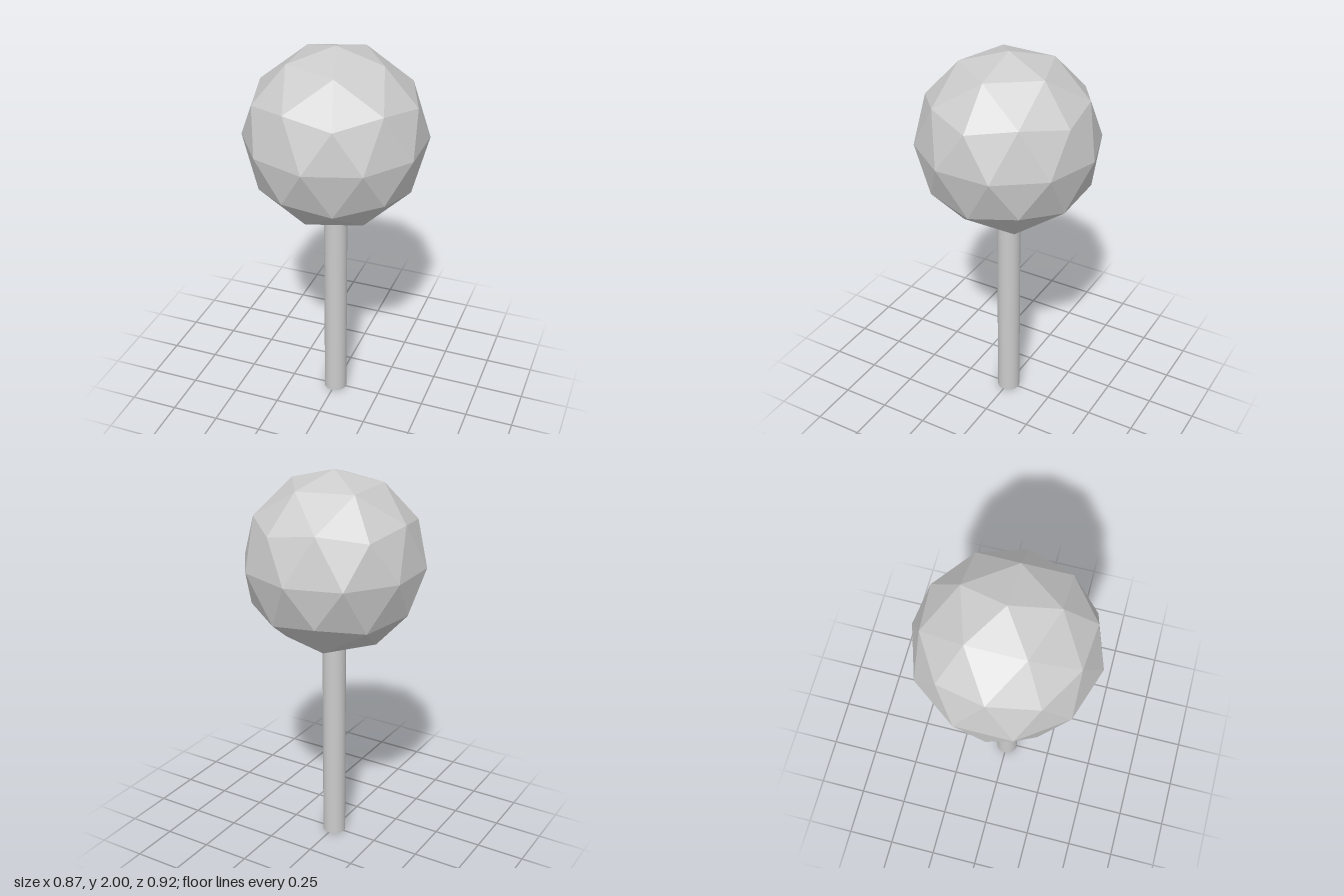
import * as THREE from 'three';

export function createModel() {
  const group = new THREE.Group();
  const radius = 0.46;

  // Faceted ball, tilted so one corner points straight up
  const ballGeometry = new THREE.IcosahedronGeometry(radius, 1);
  ballGeometry.rotateZ(-Math.atan(2 / (1 + Math.sqrt(5))));
  const ball = new THREE.Mesh(
    ballGeometry,
    new THREE.MeshStandardMaterial({ color: 0xcccccc, flatShading: true })
  );
  ball.name = 'ball';
  ball.position.y = 2 - radius;
  group.add(ball);

  // Round stem, its top end just inside the ball
  const stemHeight = 1.12;
  const stem = new THREE.Mesh(
    new THREE.CylinderGeometry(0.06, 0.06, stemHeight, 32),
    new THREE.MeshStandardMaterial({ color: 0xcccccc })
  );
  stem.name = 'stem';
  stem.position.y = stemHeight / 2;
  group.add(stem);

  return group;
}
